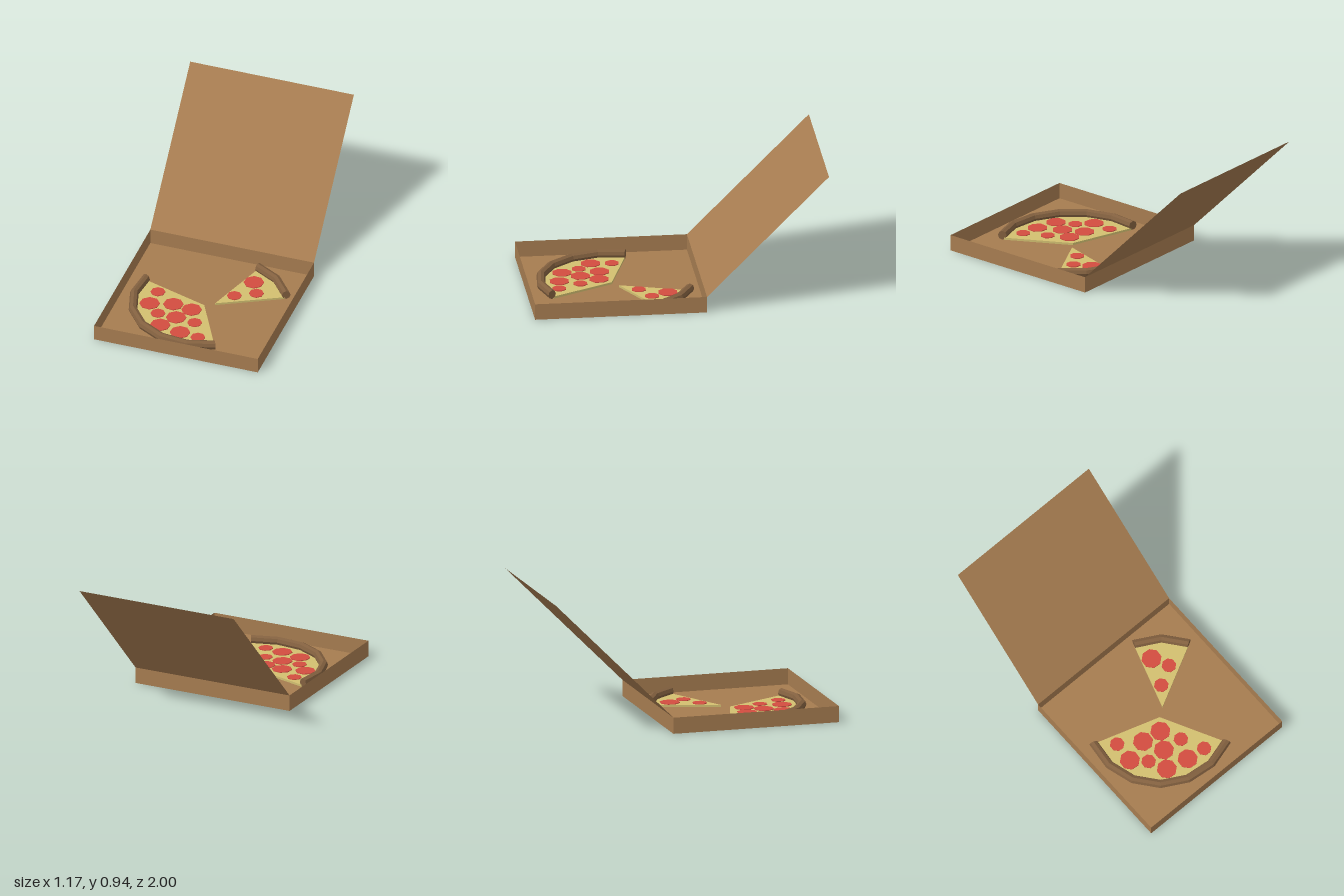
import * as THREE from 'three';

const W = 1.17, H = 0.112, BACK = -0.17, FRONT = 1;
const CHEESE_TOP = 0.018;
const rad = THREE.MathUtils.degToRad;

const mat = (color) => new THREE.MeshStandardMaterial({ color, flatShading: true, side: THREE.DoubleSide });
const card = mat(0xa67c50), crustMat = mat(0x82603f), cheeseMat = mat(0xd2bf70), meatMat = mat(0xd24c40);

function add(parent, name, geometry, material) {
  const mesh = new THREE.Mesh(geometry, material);
  mesh.name = name;
  parent.add(mesh);
  return mesh;
}

// Thin cardboard tray with the lid hinged open at the back
function makeBox() {
  const box = new THREE.Group();
  box.name = 'box';
  const midZ = (BACK + FRONT) / 2, depth = FRONT - BACK;
  add(box, 'boxFloor', new THREE.PlaneGeometry(W, depth).rotateX(-Math.PI / 2), card).position.z = midZ;
  ['frontWall', 'leftWall', 'backWall', 'rightWall'].forEach((name, i) => {
    const wall = new THREE.PlaneGeometry(W, H).translate(0, H / 2, depth / 2).rotateY(i * Math.PI / 2);
    add(box, name, wall, card).position.z = midZ;
  });
  const rise = 0.945 - H, run = 1 + BACK;
  const length = Math.hypot(rise, run);
  const lid = add(box, 'lid', new THREE.PlaneGeometry(W, length).translate(0, length / 2, 0), card);
  lid.position.set(0, H, BACK);
  lid.rotation.x = -Math.atan2(run, rise);
  return box;
}

// Wedge of pizza: tip at (x, z), angles in degrees from +x towards +z, one side per 22.5 degrees
function makePizza(name, x, z, from, to, toppings) {
  const pizza = new THREE.Group();
  pizza.name = name;
  pizza.position.set(x, 0, z);
  const segments = Math.round((to - from) / 22.5);

  // Cheese wedge
  const wedge = new THREE.Shape().moveTo(0, 0);
  for (let i = 0; i <= segments; i++) {
    const a = rad(from + i * 22.5);
    wedge.lineTo(0.475 * Math.cos(a), 0.475 * Math.sin(a));
  }
  const cheese = new THREE.ExtrudeGeometry(wedge, { depth: CHEESE_TOP - 0.003, bevelEnabled: false });
  add(pizza, 'cheese', cheese.rotateX(Math.PI / 2).translate(0, CHEESE_TOP, 0), cheeseMat);

  // Eight-sided crust roll with closed ends
  const profile = [];
  for (let i = 0; i <= 8; i++) {
    const t = i * Math.PI / 4;
    profile.push(new THREE.Vector2(0.487 + 0.03 * Math.cos(t), 0.035 + 0.032 * Math.sin(t)));
  }
  add(pizza, 'crust', new THREE.LatheGeometry(profile, segments, rad(90 - to), rad(to - from)), crustMat);
  for (const a of [from, to]) {
    add(pizza, 'crustEnd', new THREE.ShapeGeometry(new THREE.Shape(profile.slice(0, 8))).rotateY(-rad(a)), crustMat);
  }

  // Pepperoni discs, placed in box coordinates
  for (const [px, pz, r] of toppings) {
    const disc = new THREE.CylinderGeometry(r, r, 0.006, 8).rotateY(0.3);
    add(pizza, 'pepperoni', disc, meatMat).position.set(px - x, CHEESE_TOP + 0.002, pz - z);
  }
  return pizza;
}

export function createModel() {
  const model = new THREE.Group();
  model.name = 'pizzaBox';
  const B = 0.069, S = 0.05;
  model.add(
    makeBox(),
    makePizza('largePiece', 0, 0.41, 62.5, 197.5, [
      [-0.345, 0.37, S], [-0.355, 0.513, B], [-0.2, 0.47, B], [-0.063, 0.49, B], [-0.265, 0.603, S],
      [-0.133, 0.608, B], [0.005, 0.624, S], [-0.207, 0.724, B], [-0.053, 0.761, B], [0.08, 0.777, S],
    ]),
    makePizza('slice', 0.062, 0.367, -72.5, -27.5, [
      [0.233, 0.056, B], [0.29, 0.17, S], [0.158, 0.244, S],
    ]),
  );
  return model;
}
